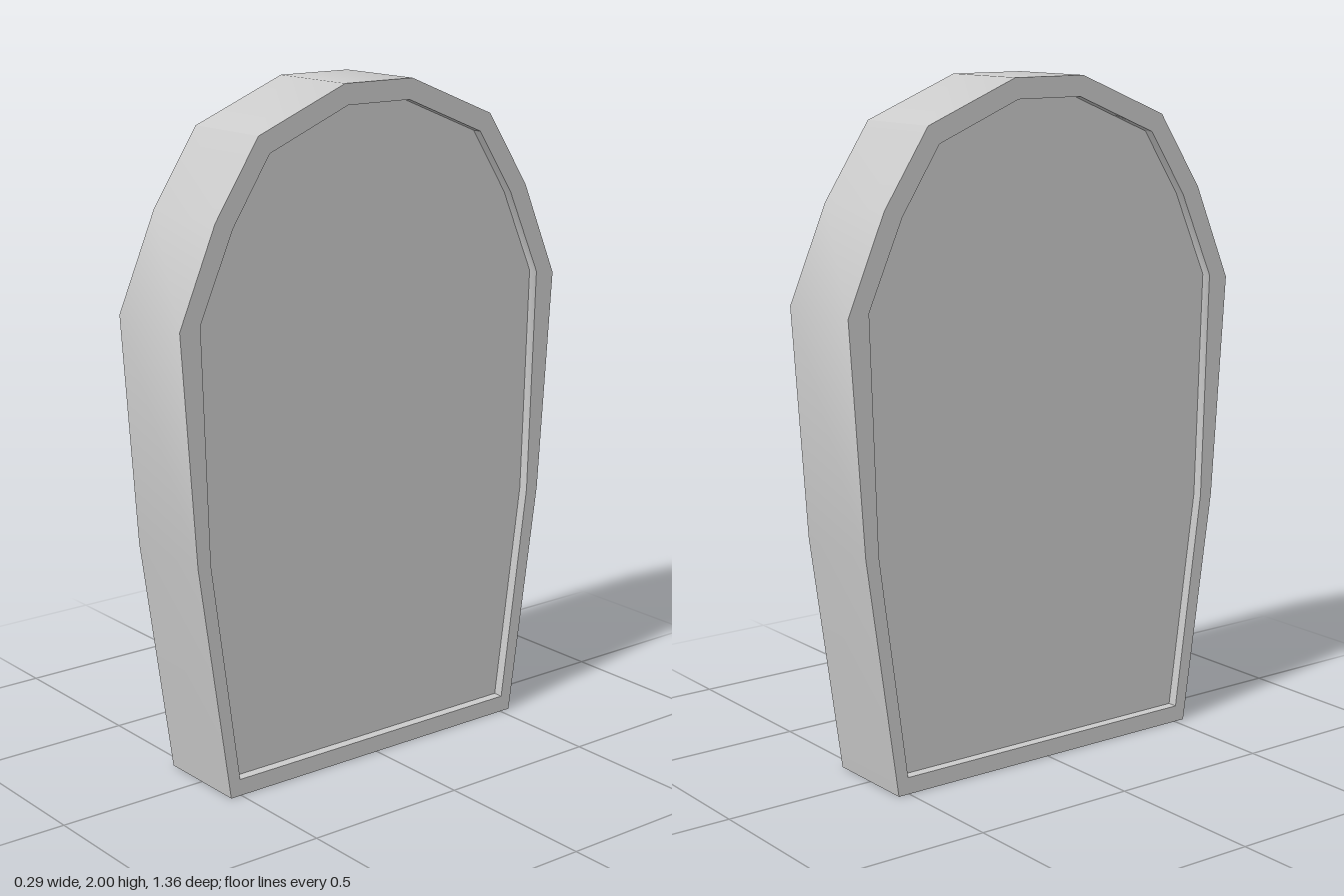
import * as THREE from 'three';
import { toCreasedNormals } from 'three/addons/utils/BufferGeometryUtils.js';

const HALF = 0.147;   // half thickness
const RECESS = 0.03;  // depth of the sunken panels

// Half outlines as [z, y], from the foot up; mirrored across z
const mirror = half => [...half, ...half.map(([z, y]) => [-z, y]).reverse()];
const outer = mirror([[0.535, 0], [0.635, 0.71], [0.68, 1.38], [0.56, 1.66], [0.415, 1.88], [0.12, 2]]);
const inner = mirror([[0.503, 0.05], [0.592, 0.71], [0.613, 1.39], [0.502, 1.64], [0.378, 1.83], [0.11, 1.94]]);

const ring = (outline, x) => outline.map(([z, y]) => new THREE.Vector3(x, y, z));

function makeMesh(name, points) {
  const geometry = new THREE.BufferGeometry().setFromPoints(points);
  geometry.computeVertexNormals();
  const mesh = new THREE.Mesh(
    toCreasedNormals(geometry, Math.PI / 6),
    new THREE.MeshStandardMaterial({ color: 0xcccccc })
  );
  mesh.name = name;
  return mesh;
}

// Skin of quads between successive rings
function loft(rings) {
  const points = [];
  for (let j = 0; j + 1 < rings.length; j++) {
    const a = rings[j], b = rings[j + 1];
    a.forEach((p, i) => {
      const k = (i + 1) % a.length;
      points.push(p, a[k], b[k], p, b[k], b[i]);
    });
  }
  return points;
}

// Flat fan across a convex outline, facing +x or -x
function fan(loop, side) {
  const points = [];
  for (let i = 1; i + 1 < loop.length; i++) {
    points.push(loop[0], ...(side > 0 ? [loop[i + 1], loop[i]] : [loop[i], loop[i + 1]]));
  }
  return points;
}

export function createModel() {
  const group = new THREE.Group();
  group.name = 'archedSlab';
  const floor = HALF - RECESS;

  // Rim: recess wall, face border and outer edge, then the same on the far side
  group.add(makeMesh('frame', loft([
    ring(inner, floor), ring(inner, HALF), ring(outer, HALF),
    ring(outer, -HALF), ring(inner, -HALF), ring(inner, -floor),
  ])));

  // Sunken panel on each face
  for (const side of [1, -1]) {
    group.add(makeMesh(side > 0 ? 'leftPanel' : 'rightPanel', fan(ring(inner, side * floor), side)));
  }
  return group;
}
